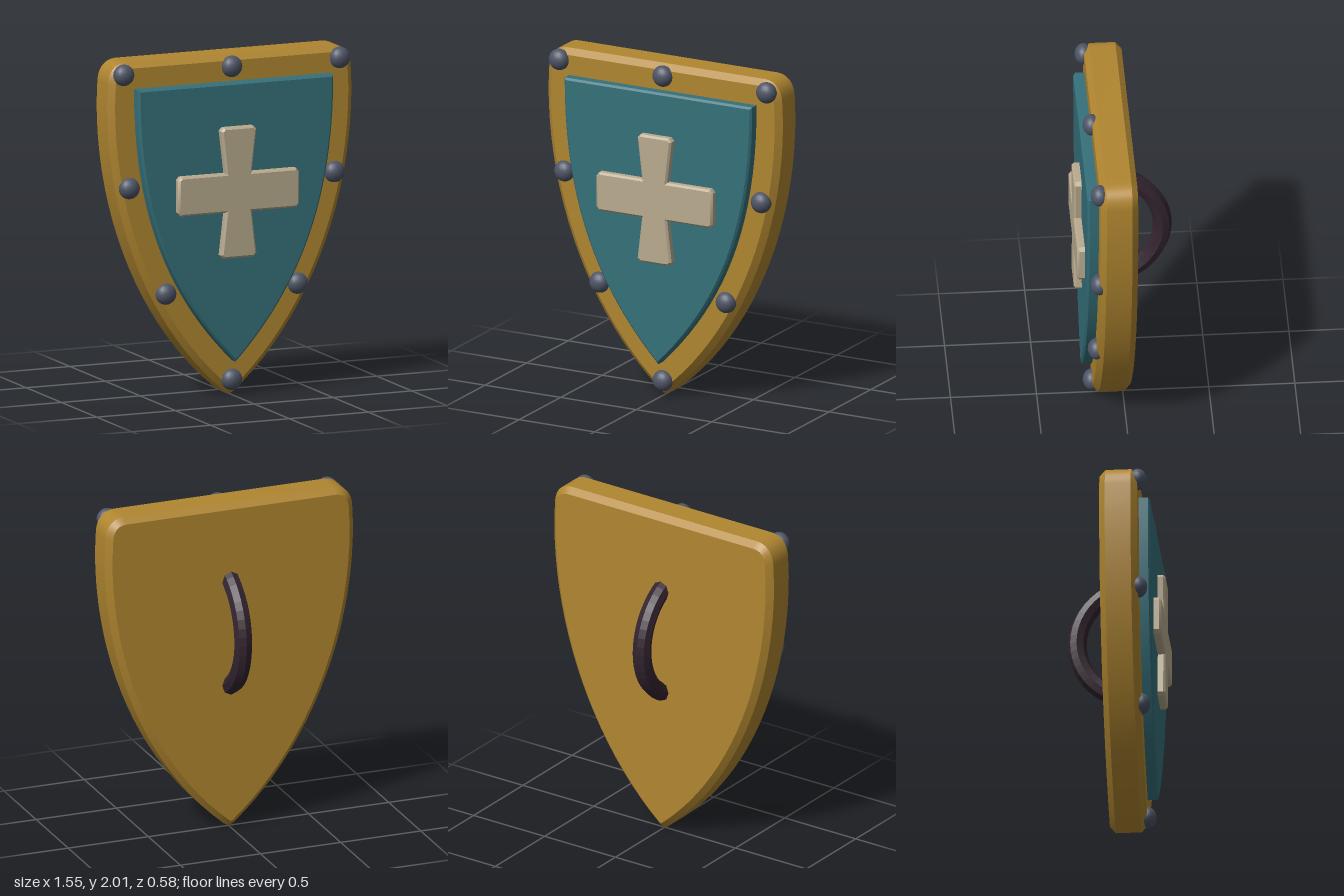
import * as THREE from 'three';
import { toCreasedNormals } from 'three/addons/utils/BufferGeometryUtils.js';

const material = (name, color) => {
  const m = new THREE.MeshStandardMaterial({ color });
  m.name = name;
  return m;
};

// Bevelled plate from a front-face outline; the bevel grows outward from it.
function plate(shape, back, front, bevel, bevelBack = true) {
  const depth = front - back - bevel * (bevelBack ? 2 : 1);
  const geo = new THREE.ExtrudeGeometry(shape, {
    depth, bevelEnabled: true, bevelSize: bevel, bevelThickness: bevel,
    bevelSegments: 1, curveSegments: 20,
  });
  geo.translate(0, 0, front - bevel - depth);
  return toCreasedNormals(geo, 0.5);
}

export function createModel() {
  const gold = material('gold', 0xb08630);
  const teal = material('teal', 0x35707a);
  const bone = material('bone', 0xb9ab8f);
  const steel = material('steel', 0x4e5566);
  const leather = material('dark leather', 0x33242f);

  const model = new THREE.Group();
  model.name = 'shield';
  const add = (name, geo, mat, parent = model) => {
    const mesh = new THREE.Mesh(geo, mat);
    mesh.name = name;
    parent.add(mesh);
    return mesh;
  };

  // Gold body with rounded upper corners and a blunt tip
  const body = new THREE.Shape();
  body.moveTo(0, 0.035);
  body.lineTo(0.012, 0.042);
  body.bezierCurveTo(0.45, 0.41, 0.74, 1.05, 0.74, 1.75);
  body.lineTo(0.735, 1.87);
  body.quadraticCurveTo(0.73, 1.965, 0.65, 1.965);
  body.lineTo(-0.65, 1.965);
  body.quadraticCurveTo(-0.73, 1.965, -0.735, 1.87);
  body.lineTo(-0.74, 1.75);
  body.bezierCurveTo(-0.74, 1.05, -0.45, 0.41, -0.012, 0.042);
  body.closePath();
  add('body', plate(body, -0.04, 0.18, 0.035), gold);

  // Raised teal field
  const field = new THREE.Shape();
  field.moveTo(0, 0.215);
  field.bezierCurveTo(0.39, 0.61, 0.608, 1.1, 0.608, 1.833);
  field.lineTo(-0.608, 1.833);
  field.bezierCurveTo(-0.608, 1.1, -0.39, 0.61, 0, 0.215);
  add('field', plate(field, 0.16, 0.245, 0.012, false), teal);

  // Cross with flared upright: one quarter outline mirrored around the centre
  const quarter = [[0.372, 0.09], [0.36, 0.104], [0.07, 0.104], [0.1, 0.362], [0.088, 0.374]];
  const mirrored = [...quarter].reverse();
  const corners = [
    ...quarter,
    ...mirrored.map(([x, y]) => [-x, y]),
    ...quarter.map(([x, y]) => [-x, -y]),
    ...mirrored.map(([x, y]) => [x, -y]),
  ];
  const crossShape = new THREE.Shape(corners.map(([x, y]) => new THREE.Vector2(x, y + 1.205)));
  add('cross', plate(crossShape, 0.23, 0.29, 0.012, false), bone);

  // Domed rivets around the rim
  const rivets = new THREE.Group();
  rivets.name = 'rivets';
  model.add(rivets);
  const rivetGeo = new THREE.SphereGeometry(0.063, 16, 12);
  const rivet = (x, y) => {
    const mesh = add('rivet', rivetGeo, steel, rivets);
    mesh.position.set(x, y, 0.18);
    mesh.scale.z = 0.83;
  };
  [[0, 1.93], [0, 0.085]].forEach(([x, y]) => rivet(x, y));
  [[0.685, 1.93], [0.65, 1.26], [0.418, 0.62]].forEach(([x, y]) => {
    rivet(x, y);
    rivet(-x, y);
  });

  // Curved grip on the back, its ends sunk into the body
  const half = 1.17;
  const grip = new THREE.TorusGeometry(0.365, 0.055, 8, 18, half * 2);
  grip.rotateZ(-half);
  grip.rotateY(Math.PI / 2);
  grip.translate(0, 1.2, 0.135);
  leather.flatShading = true;
  add('grip', grip, leather);

  return model;
}
